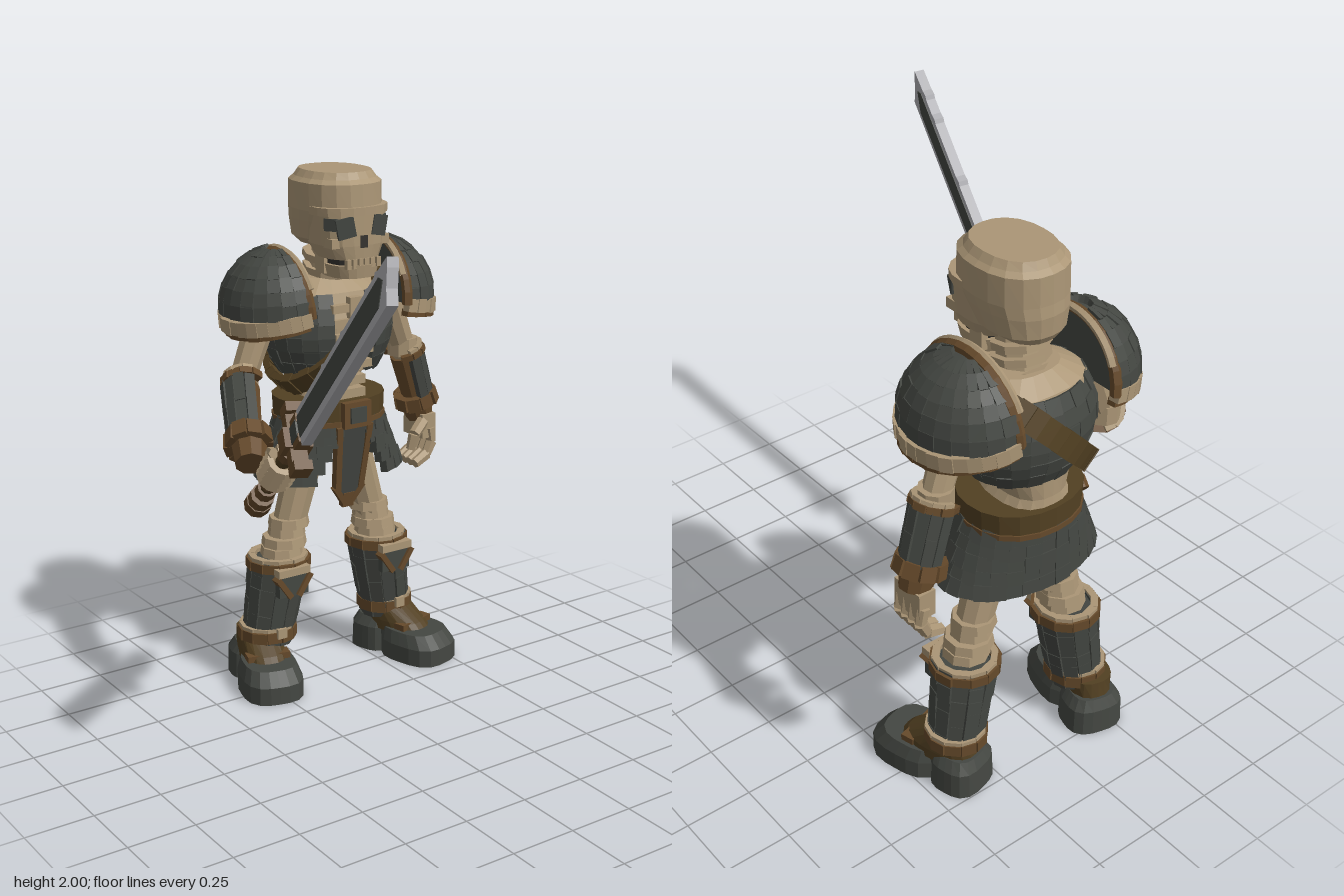
import * as THREE from 'three';
import { mergeGeometries } from 'three/addons/utils/BufferGeometryUtils.js';

const V = (x, y, z) => new THREE.Vector3(x, y, z);
const mat = (name, color) => new THREE.MeshStandardMaterial({ name, color, flatShading: true, side: THREE.DoubleSide });

export function createModel() {
  const bone = mat('bone', 0xab9676), armour = mat('dark armour', 0x444742), leather = mat('leather', 0x664a2b),
    strapMat = mat('dark leather', 0x524022), steel = mat('steel', 0xafafb3), hollow = mat('socket', 0x35332f);
  const root = new THREE.Group();
  root.name = 'skeletonWarrior';
  let seed = 7;
  const rnd = () => (seed = (seed * 16807) % 2147483647) / 2147483647;

  const add = (name, geo, m, parent = root) => {
    const mesh = new THREE.Mesh(geo, m);
    mesh.name = name;
    parent.add(mesh);
    return mesh;
  };
  const box = (name, m, size, pos, parent = root, rot = [0, 0, 0]) => {
    const b = add(name, new THREE.BoxGeometry(...size), m, parent);
    b.position.set(...pos);
    b.rotation.set(...rot);
    return b;
  };
  // Tapered limb between two points
  const limb = (name, m, a, b, ra, rb, parent = root, sides = 9) => {
    const c = add(name, new THREE.CylinderGeometry(rb, ra, a.distanceTo(b), sides), m, parent);
    c.position.copy(a).lerp(b, 0.5);
    c.quaternion.setFromUnitVectors(V(0, 1, 0), b.clone().sub(a).normalize());
    return c;
  };
  // Closed solid from rounded-square sections [y, x, z, rx, rz], bottom to top
  const loft = (name, m, rows, power = 2.6, parent = root, n = 20) => {
    const pos = [], idx = [];
    for (const [y, x, z, rx, rz] of rows) for (let j = 0; j < n; j++) {
      const a = j / n * Math.PI * 2, c = Math.cos(a), s = Math.sin(a);
      const k = (Math.abs(c) ** power + Math.abs(s) ** power) ** (-1 / power);
      pos.push(x + rx * c * k, y, z + rz * s * k);
    }
    const last = rows.length - 1, cb = pos.length / 3;
    pos.push(rows[0][1], rows[0][0], rows[0][2], rows[last][1], rows[last][0], rows[last][2]);
    for (let j = 0; j < n; j++) {
      const k = (j + 1) % n;
      for (let i = 0; i < last; i++) {
        const a = i * n, b = a + n;
        idx.push(a + j, b + j, b + k, a + j, b + k, a + k);
      }
      idx.push(cb, j, k, cb + 1, last * n + k, last * n + j);
    }
    const g = new THREE.BufferGeometry();
    g.setAttribute('position', new THREE.Float32BufferAttribute(pos, 3));
    g.setIndex(idx);
    g.computeVertexNormals();
    return add(name, g, m, parent);
  };
  // Small overlapping plates laid over a surface f(u, v)
  const tiles = (name, m, f, nu, nv, thick, parent = root) => {
    const list = [];
    for (let j = 0; j < nv; j++) for (let i = 0; i < nu; i++) {
      const u = (i + 0.5) / nu, v = (j + 0.5) / nv;
      const X = f(u + 0.5 / nu, v).sub(f(u - 0.5 / nu, v)), Y = f(u, v + 0.5 / nv).sub(f(u, v - 0.5 / nv));
      const w = X.length(), h = Y.length();
      X.normalize();
      const Z = X.clone().cross(Y).normalize();
      Y.copy(Z).cross(X);
      const g = new THREE.BoxGeometry(w * 1.1, h * (1.1 + 0.15 * rnd()), thick * (0.9 + 0.5 * rnd()));
      list.push(g.applyMatrix4(new THREE.Matrix4().makeBasis(X, Y, Z).setPosition(f(u, v))));
    }
    return add(name, mergeGeometries(list), m, parent);
  };
  // Plates wrapped around a tapered limb, over an arc centred on angle mid
  const wrap = (name, m, a, b, ra, rb, nu, nv, thick, mid = 0, arc = Math.PI * 2) => {
    const d = b.clone().sub(a).normalize(), P = V(0, 0, 1).cross(d).normalize(), Q = d.clone().cross(P);
    return tiles(name, m, (u, v) => {
      const t = mid + (u - 0.5) * arc, r = ra + (rb - ra) * v;
      return a.clone().lerp(b, v).addScaledVector(P, r * Math.cos(t)).addScaledVector(Q, r * Math.sin(t));
    }, nu, nv, thick);
  };
  const CX = -0.585, CZ = -0.08, TAU = Math.PI * 2;

  // Skull
  loft('cranium', bone, [[1.72, -0.59, CZ, 0.1, 0.09], [1.75, -0.56, CZ, 0.15, 0.13], [1.82, -0.535, CZ, 0.18, 0.147],
    [1.86, -0.52, CZ, 0.19, 0.155], [1.96, -0.52, CZ, 0.185, 0.155], [1.975, -0.52, CZ, 0.165, 0.138], [2.0, -0.52, CZ, 0.15, 0.12]], 2.3);
  loft('face', bone, [[1.69, -0.44, CZ, 0.108, 0.105], [1.74, -0.45, CZ, 0.122, 0.13], [1.86, -0.45, CZ, 0.122, 0.142]], 2.8);
  loft('brow', bone, [[1.85, -0.45, CZ, 0.132, 0.15], [1.88, -0.45, CZ, 0.132, 0.152]], 2.5);
  loft('lowerJaw', bone, [[1.62, -0.43, CZ, 0.098, 0.088], [1.668, -0.43, CZ, 0.105, 0.1]], 2.8);
  loft('mouth', hollow, [[1.66, -0.435, CZ, 0.09, 0.085], [1.695, -0.435, CZ, 0.095, 0.09]], 2.8);
  box('nose', hollow, [0.012, 0.045, 0.03], [-0.331, 1.755, CZ]);
  for (const s of [1, -1]) {
    box('eyeSocket', armour, [0.014, 0.075, 0.07], [-0.34, 1.808, CZ + s * 0.072], root, [s * 0.2, -s * 0.2, 0]);
    box('eyeSocketSide', armour, [0.05, 0.045, 0.02], [-0.372, 1.82, CZ + s * 0.113], root, [0, s * 0.55, 0]);
    box('cheekbone', bone, [0.09, 0.035, 0.05], [-0.395, 1.752, CZ + s * 0.1]);
    box('jawHinge', bone, [0.06, 0.12, 0.025], [-0.47, 1.69, CZ + s * 0.09]);
  }
  for (let i = 0; i < 6; i++) box('tooth', bone, [0.02, 0.035, 0.018], [-0.338, 1.675, CZ + (i - 2.5) * 0.026]);

  // Neck, ribs and spine
  limb('neck', bone, V(-0.58, 1.52, CZ), V(-0.54, 1.74, CZ), 0.085, 0.07);
  for (let i = 0; i < 3; i++) limb('neckRing', bone, V(-0.57, 1.56 + i * 0.05, CZ), V(-0.565, 1.585 + i * 0.05, CZ), 0.1, 0.1);
  loft('ribcage', bone, [[1.24, CX, CZ, 0.15, 0.17], [1.34, CX, CZ, 0.18, 0.2], [1.46, CX, CZ, 0.18, 0.23],
    [1.55, CX, CZ, 0.15, 0.21], [1.6, CX, CZ, 0.09, 0.12]]);
  box('breastbone', bone, [0.03, 0.28, 0.05], [-0.398, 1.4, CZ]);
  for (let i = 0; i < 5; i++) box('rib', bone, [0.03, 0.03, 0.19 - i * 0.01], [-0.405, 1.5 - i * 0.055, CZ]);
  loft('waist', bone, [[1.1, -0.6, CZ, 0.16, 0.15], [1.17, -0.61, CZ, 0.14, 0.11], [1.26, -0.6, CZ, 0.15, 0.14]]);
  for (let i = 0; i < 2; i++) box('vertebra', bone, [0.06, 0.035, 0.14], [-0.46, 1.16 + i * 0.05, CZ]);
  tiles('chestPlates', armour, (u, v) => {
    const a = 0.37 + u * (TAU - 0.74), r = Math.sin(0.9 + v * 1.35);
    return V(CX + 0.195 * r * Math.cos(a), 1.25 + v * 0.29, CZ + (0.235 + 0.015 * v) * r * Math.sin(a));
  }, 22, 6, 0.03);

  // Diagonal shoulder strap
  tiles('shoulderStrap', strapMat, (u, v) => {
    const t = u * TAU, k = (v - 0.5) * 0.05;
    return V(CX + 0.232 * Math.cos(t), 1.4 + 0.2 * Math.sin(t) + k, CZ - 0.2 * Math.sin(t) + k);
  }, 36, 1, 0.028);

  // Belt, skirt and loincloth
  loft('pelvis', bone, [[0.93, CX, CZ, 0.1, 0.13], [1.0, CX, CZ, 0.15, 0.18], [1.1, CX, CZ, 0.165, 0.2]]);
  loft('belt', strapMat, [[1.06, CX, CZ, 0.19, 0.215], [1.14, CX, CZ, 0.19, 0.22]], 2.2);
  loft('beltEdge', leather, [[1.045, CX, CZ, 0.195, 0.22], [1.065, CX, CZ, 0.195, 0.22]], 2.2);
  box('buckle', leather, [0.03, 0.1, 0.12], [-0.39, 1.09, CZ]);
  box('buckleCentre', armour, [0.012, 0.06, 0.07], [-0.373, 1.09, CZ]);
  tiles('skirt', armour, (u, v) => {
    const a0 = 0.18 + 0.42 * v, a = a0 + u * (TAU - 2 * a0);
    return V(CX + (0.172 + 0.008 * v) * Math.cos(a), 1.06 - 0.23 * v, CZ + (0.2 + 0.1 * v) * Math.sin(a));
  }, 24, 5, 0.03);
  const cloth = new THREE.Group();
  cloth.name = 'loincloth';
  cloth.position.set(-0.405, 1.05, CZ);
  cloth.rotation.z = -0.17;
  root.add(cloth);
  box('clothPanel', armour, [0.02, 0.3, 0.1], [0, -0.15, 0], cloth);
  box('clothTip', leather, [0.026, 0.06, 0.05], [0, -0.32, 0], cloth);
  for (const s of [1, -1]) {
    box('clothEdge', leather, [0.03, 0.27, 0.025], [0, -0.14, s * 0.06], cloth, [s * 0.06, 0, 0]);
    box('clothHem', leather, [0.028, 0.08, 0.022], [0, -0.295, s * 0.04], cloth, [s * 0.6, 0, 0]);
  }

  for (const s of [1, -1]) {
    const z = (d) => CZ + s * d;
    // Pauldron, sloping down towards the outside
    const pad = new THREE.Group(), R = s > 0 ? 0.205 : 0.222;
    pad.name = 'pauldron';
    pad.position.set(s > 0 ? -0.575 : -0.585, 1.49, z(0.215));
    pad.rotation.set(0.07, s > 0 ? 0 : Math.PI, 0, 'YXZ');
    root.add(pad);
    add('padShell', new THREE.SphereGeometry(1, 16, 6, 0, Math.PI, 0, Math.PI / 2), armour, pad).scale.set(R, 0.22, 0.2);
    add('padInside', new THREE.CircleGeometry(R, 16, 0, Math.PI), armour, pad);
    tiles('padScales', armour, (u, v) => {
      const e = v * 1.35, a = u * Math.PI;
      return V(R * Math.cos(a) * Math.cos(e), 0.01 + 0.21 * Math.sin(e), 0.205 * Math.sin(a) * Math.cos(e));
    }, 13, 6, 0.032, pad);
    const trim = (r, y, h) => (u, v) => {
      const a = u * Math.PI;
      return V(r * Math.cos(a), y + h * v - 0.025 * Math.sin(a), Math.min(r, 0.215) * Math.sin(a));
    };
    tiles('padTrim', bone, trim(R + 0.002, -0.025, 0.045), 17, 1, 0.035, pad);
    tiles('padUnderTrim', leather, trim(R - 0.008, -0.045, 0.022), 14, 1, 0.03, pad);
    add('padRim', new THREE.TorusGeometry(R + 0.01, 0.02, 6, 16, Math.PI), leather, pad).position.z = -0.005;
    const edge = add('padRimEdge', new THREE.TorusGeometry(R + 0.02, 0.014, 5, 16, Math.PI * 0.7), bone, pad);
    edge.rotation.z = Math.PI * 0.15;
    edge.position.z = -0.02;

    // Leg
    const hip = V(-0.58, 1.0, z(0.08)), knee = V(-0.59, 0.5, z(0.225)), boot = V(-0.6, 0.49, z(0.232)), ankle = V(-0.615, 0.17, z(0.28));
    const up = (p, y) => p.clone().add(V(0, y, 0));
    limb('thigh', bone, hip, knee, 0.075, 0.06);
    for (const [t, r] of [[0.97, 0.085], [0.89, 0.09], [0.81, 0.075], [0.74, 0.082]]) {
      const p = hip.clone().lerp(knee, t);
      limb('kneeRing', bone, p, up(p, 0.035), r, r - 0.006);
    }
    limb('shin', armour, ankle, boot, 0.078, 0.09);
    wrap('shinPlates', armour, ankle, boot, 0.083, 0.1, 12, 6, 0.026);
    wrap('bootCuff', leather, up(boot, -0.02), up(boot, 0.012), 0.108, 0.108, 12, 1, 0.025);
    wrap('bootCuffTrim', bone, up(boot, 0.012), up(boot, 0.028), 0.1, 0.1, 12, 1, 0.022);
    wrap('ankleBand', leather, up(ankle, 0.012), up(ankle, 0.05), 0.097, 0.097, 12, 1, 0.025);
    wrap('ankleTrim', bone, up(ankle, 0.055), up(ankle, 0.067), 0.095, 0.095, 12, 1, 0.02);
    box('kneePad', armour, [0.03, 0.1, 0.13], [-0.485, 0.43, z(0.24)]);
    box('kneePadTop', bone, [0.04, 0.03, 0.14], [-0.48, 0.48, z(0.24)]);
    for (const k of [1, -1]) box('kneePadEdge', leather, [0.04, 0.1, 0.022], [-0.478, 0.42, z(0.24) + k * 0.045], root, [k * 0.6, 0, 0]);
    box('ankleStud', bone, [0.03, 0.04, 0.04], [-0.51, 0.22, z(0.28)]);
    // Foot, toes turned outwards
    const foot = new THREE.Group();
    foot.name = 'foot';
    foot.position.set(s > 0 ? -0.575 : -0.52, 0, s > 0 ? 0.24 : -0.39);
    foot.rotation.y = -s * 0.26;
    root.add(foot);
    loft('heel', armour, [[0, -0.13, 0, 0.095, 0.108], [0.1, -0.13, 0, 0.09, 0.105], [0.14, -0.12, 0, 0.08, 0.08]], 3, foot);
    loft('toe', armour, [[0, 0.08, 0, 0.145, 0.118], [0.07, 0.08, 0, 0.145, 0.118], [0.12, 0.06, 0, 0.12, 0.1]], 3, foot);
    box('arch', armour, [0.14, 0.09, 0.15], [-0.05, 0.075, 0], foot);
    loft('bootUpper', strapMat, [[0.1, -0.03, 0, 0.16, 0.085], [0.14, -0.05, 0, 0.14, 0.085], [0.2, -0.09, 0, 0.09, 0.08]], 2.6, foot);
    box('instepStrap', leather, [0.05, 0.04, 0.17], [0.05, 0.125, 0], foot);
  }

  // Arms: shoulder, elbow, wrist; armour on the outer side of each bracer
  const arms = [[V(-0.565, 1.54, 0.19), V(-0.56, 1.25, 0.31), V(-0.28, 1.06, 0.45), 1],
    [V(-0.58, 1.54, -0.33), V(-0.61, 1.26, -0.45), V(-0.63, 0.99, -0.54), -1]];
  for (const [a, b, c, s] of arms) {
    const at = (t) => b.clone().lerp(c, t), mid = s * Math.PI / 2;
    limb('upperArm', bone, a, b, 0.06, 0.05);
    limb('elbow', bone, b.clone().add(V(0, 0.035, 0)), b.clone().add(V(0, -0.035, 0)), 0.06, 0.06);
    limb('forearm', bone, b, c, 0.05, 0.042);
    limb('bracerLining', leather, at(0.14), at(0.78), 0.06, 0.052);
    wrap('bracerPlates', armour, at(0.14), at(0.76), 0.067, 0.062, 7, 2, 0.024, mid, 3.7);
    wrap('elbowCuff', leather, at(0.05), at(0.12), 0.07, 0.07, 8, 1, 0.022, mid, 4.6);
    wrap('elbowTrim', bone, at(0.0), at(0.05), 0.066, 0.066, 7, 1, 0.02, mid, 3.6);
    wrap('wristCuff', leather, at(0.76), at(0.92), 0.066, 0.07, 9, 1, 0.028);
    limb('glove', leather, at(0.88), at(1.14), 0.066, 0.056);
  }

  // Open right hand with curled fingers
  box('rightPalm', bone, [0.13, 0.1, 0.065], [-0.63, 0.92, -0.55]);
  for (let i = 0; i < 4; i++) {
    const x = -0.685 + i * 0.036, p = [V(x, 0.91, -0.56), V(x, 0.85, -0.57), V(x, 0.8, -0.545), V(x + 0.01, 0.772, -0.48)];
    for (let j = 0; j < 3; j++) limb('rightFinger', bone, p[j], p[j + 1], 0.024, 0.021, root, 6);
  }
  limb('rightThumb', bone, V(-0.58, 0.94, -0.53), V(-0.555, 0.9, -0.47), 0.026, 0.024, root, 6);
  limb('rightThumbTip', bone, V(-0.555, 0.9, -0.47), V(-0.56, 0.84, -0.455), 0.024, 0.018, root, 6);

  // Sword: local y runs to the tip, local x across the blade
  const sword = new THREE.Group();
  sword.name = 'sword';
  const Y = V(1, 0.88, 0.2).normalize(), X = Y.clone().cross(V(0.28, -0.09, -1)).normalize(), Z = X.clone().cross(Y);
  sword.applyMatrix4(new THREE.Matrix4().makeBasis(X, Y, Z).setPosition(0, 1.17, 0.43));
  root.add(sword);
  const outline = [[-0.068, 0.115], [0.062, 0.11]];
  for (const y of [0.42, 0.64, 0.9, 1.0]) outline.push([0.062, y], [0.07, y + 0.015], [0.062, y + 0.04]);
  outline.push([0.058, 1.125], [0.03, 1.112], [-0.02, 1.078], [-0.066, 1.06]);
  const plate = (name, pts, depth, m) => {
    const g = new THREE.ExtrudeGeometry(new THREE.Shape(pts.map((p) => new THREE.Vector2(...p))), { depth, bevelEnabled: false });
    return add(name, g.translate(0, 0, -depth / 2), m, sword);
  };
  plate('blade', outline, 0.036, steel);
  plate('bladeFuller', [[-0.039, 0.112], [0.039, 0.112], [0.039, 1.04], [0.015, 1.065], [-0.039, 1.0]], 0.042, armour);
  box('bladeCollar', armour, [0.06, 0.1, 0.055], [0, 0.06, 0], sword);
  for (const s of [1, -1]) {
    box('bladeLug', leather, [0.03, 0.07, 0.05], [s * 0.038, 0.08, 0], sword);
    box('guardEnd', leather, [0.035, 0.075, 0.065], [s * 0.11, 0.015, 0], sword);
  }
  box('guard', leather, [0.22, 0.05, 0.06], [0, 0, 0], sword);
  box('guardBoss', leather, [0.075, 0.075, 0.1], [0, 0, 0], sword);
  limb('grip', strapMat, V(0, -0.5, 0), V(0, 0, 0), 0.027, 0.027, sword);
  for (const [y, r] of [[-0.1, 0.034], [-0.34, 0.036], [-0.42, 0.038], [-0.49, 0.046], [-0.54, 0.05]])
    limb('gripRing', leather, V(0, y - 0.025, 0), V(0, y + 0.025, 0), r, r, sword);
  // Left hand closed on the grip
  box('leftPalm', bone, [0.06, 0.13, 0.06], [0.035, -0.225, 0.015], sword);
  for (let i = 0; i < 4; i++) {
    const f = add('leftFinger', new THREE.TorusGeometry(0.049, 0.021, 6, 10, TAU * 0.85), bone, sword);
    f.rotation.x = Math.PI / 2;
    f.position.y = -0.285 + i * 0.038;
  }
  limb('leftThumb', bone, V(0.05, -0.2, -0.03), V(0.01, -0.12, -0.045), 0.022, 0.018, sword, 6);
  return root;
}
